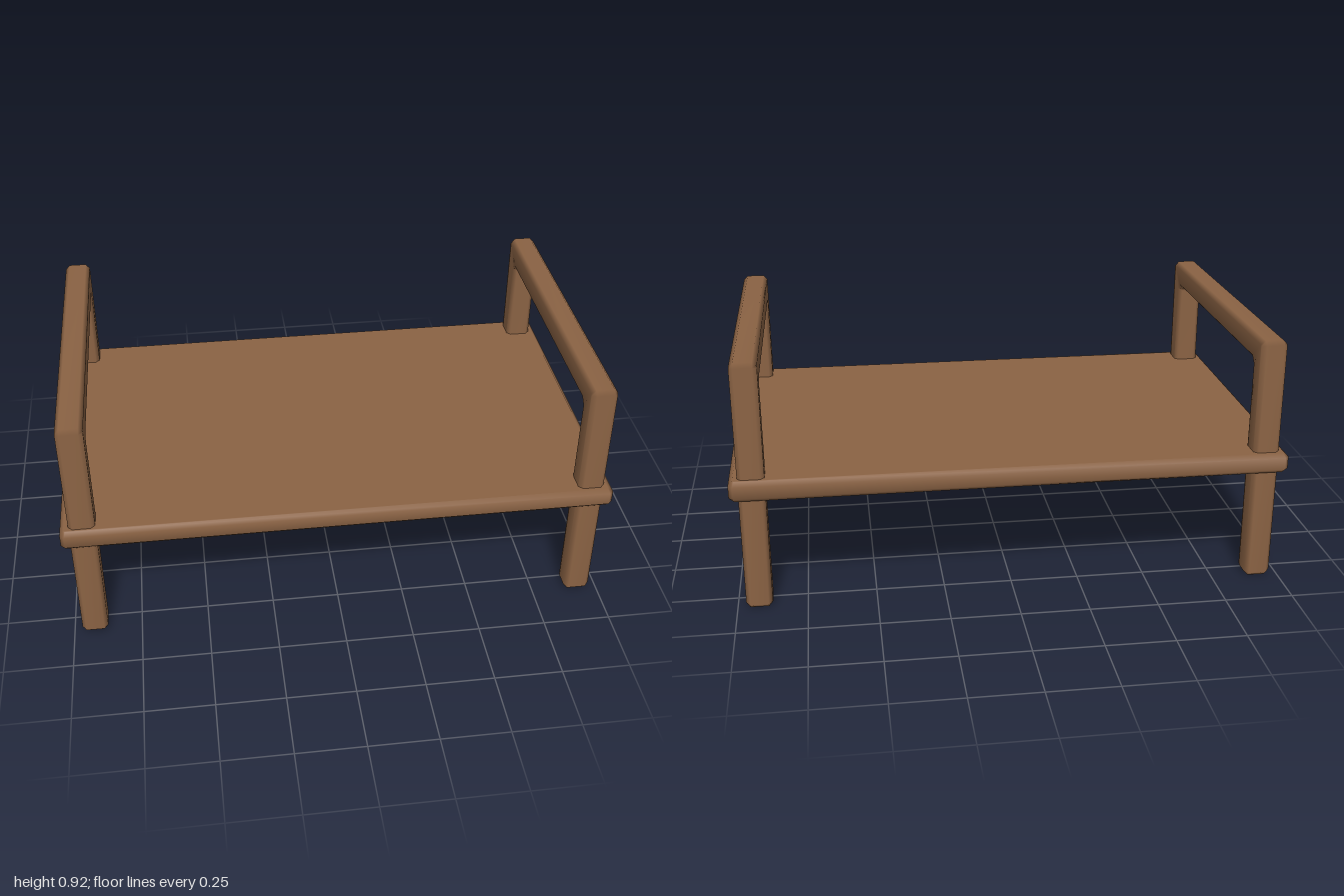
import * as THREE from 'three';
import { mergeVertices } from 'three/addons/utils/BufferGeometryUtils.js';

const CHAMFER = 0.015;

// Closed outline whose every corner is cut off at the chamfer distance.
function chamferedShape(points) {
  const corners = points.map(([x, y]) => new THREE.Vector2(x, y));
  const n = corners.length;
  const outline = [];
  corners.forEach((corner, i) => {
    for (const other of [corners[(i + n - 1) % n], corners[(i + 1) % n]]) {
      const step = other.clone().sub(corner).setLength(CHAMFER);
      outline.push(corner.clone().add(step));
    }
  });
  return new THREE.Shape(outline);
}

// Slab of the given thickness, centred on its depth, with softly shaded chamfers.
function chamferedSlab(points, thickness) {
  const geometry = new THREE.ExtrudeGeometry(chamferedShape(points), {
    depth: thickness - 2 * CHAMFER,
    bevelEnabled: true,
    bevelSegments: 1,
    bevelSize: CHAMFER,
    bevelThickness: CHAMFER,
    bevelOffset: -CHAMFER,
  });
  geometry.translate(0, 0, CHAMFER - thickness / 2);
  geometry.deleteAttribute('uv');
  geometry.deleteAttribute('normal');
  const welded = mergeVertices(geometry, 1e-4);
  welded.computeVertexNormals();
  return welded;
}

export function createModel() {
  const model = new THREE.Group();
  model.name = 'bedFrame';
  const wood = new THREE.MeshStandardMaterial({ name: 'brown wood', color: 0x8b6344 });

  // Flat sleeping platform
  const platformGeometry = chamferedSlab(
    [[-1, -0.613], [1, -0.613], [1, 0.613], [-1, 0.613]], 0.075);
  platformGeometry.rotateX(-Math.PI / 2);
  const platform = new THREE.Mesh(platformGeometry, wood);
  platform.name = 'platform';
  platform.position.y = 0.465;
  model.add(platform);

  // Arched end frames: two legs joined by a top rail
  const frameGeometry = chamferedSlab([
    [-0.588, 0], [-0.494, 0], [-0.494, 0.829], [0.494, 0.829],
    [0.494, 0], [0.588, 0], [0.588, 0.923], [-0.588, 0.923],
  ], 0.095);
  frameGeometry.rotateY(Math.PI / 2);
  for (const [name, side] of [['leftEndFrame', 1], ['rightEndFrame', -1]]) {
    const frame = new THREE.Mesh(frameGeometry, wood);
    frame.name = name;
    frame.position.x = side * 0.922;
    model.add(frame);
  }

  return model;
}
